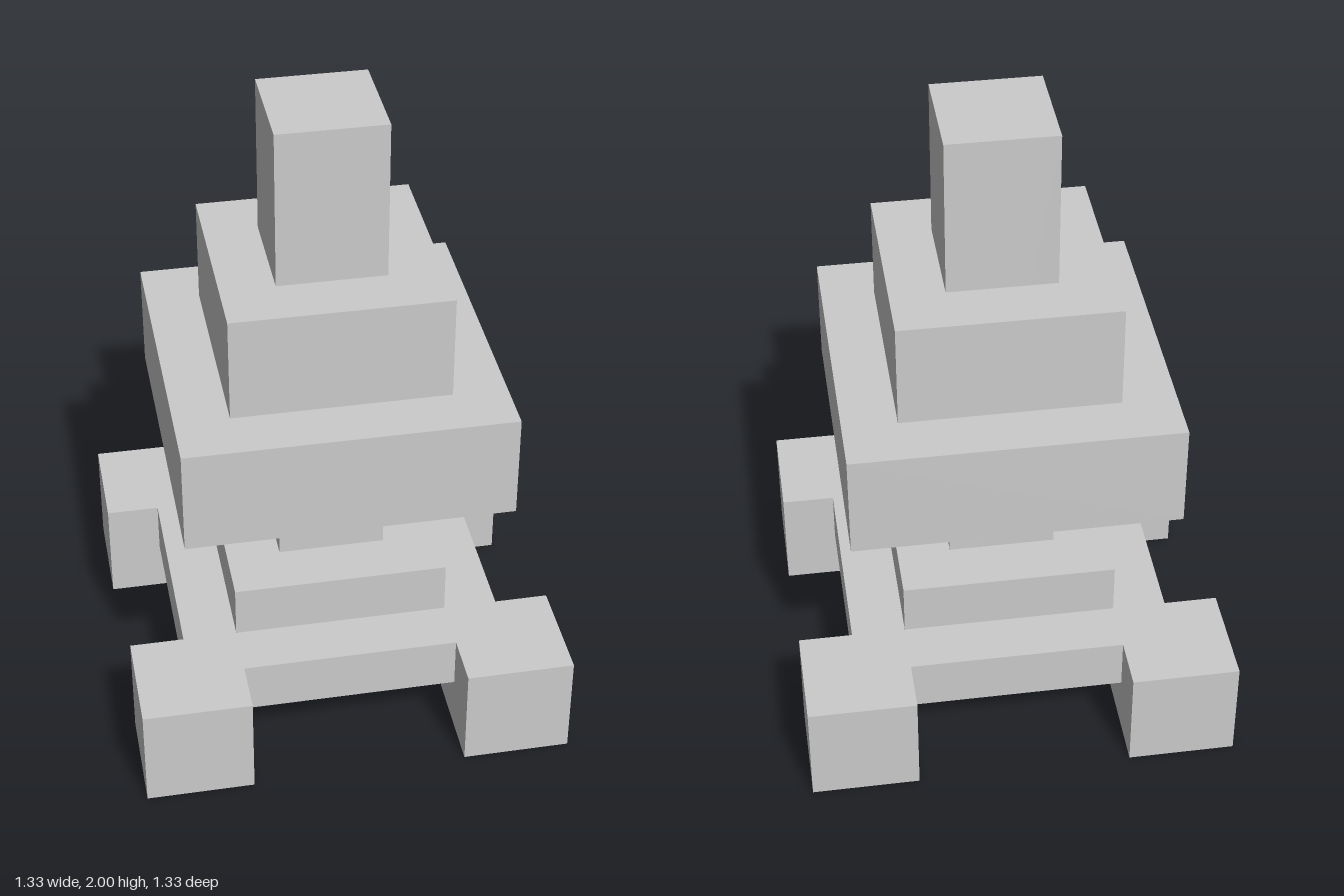
import * as THREE from 'three';

const U = 1 / 6; // the module every part is measured in

export function createModel() {
  const model = new THREE.Group();
  const material = new THREE.MeshStandardMaterial({ color: 0xcccccc, flatShading: true });

  const add = (name, geometry, x, y, z) => {
    const mesh = new THREE.Mesh(geometry, material);
    mesh.name = name;
    mesh.position.set(x * U, y * U, z * U);
    model.add(mesh);
    return mesh;
  };

  // Square block centred on the axis, from height y0 to y1
  const block = (name, width, y0, y1) =>
    add(name, new THREE.BoxGeometry(width * U, (y1 - y0) * U, width * U), 0, (y0 + y1) / 2, 0);

  // Central column and the two stepped tiers
  block('column', 2, 0, 12);
  block('lowerTier', 4, 2, 3);
  block('upperTier', 4, 6, 9);

  // Wide collar, open underneath around the upper tier
  const square = (Type, half) => new Type([
    new THREE.Vector2(-half, -half), new THREE.Vector2(half, -half),
    new THREE.Vector2(half, half), new THREE.Vector2(-half, half),
  ]);
  const outline = square(THREE.Shape, 3 * U);
  outline.holes.push(square(THREE.Path, 2 * U));
  const collar = new THREE.ExtrudeGeometry(outline, { depth: 2 * U, bevelEnabled: false });
  collar.rotateX(-Math.PI / 2);
  add('collar', collar, 0, 5, 0);

  // Base frame: four rails joining four corner feet
  for (const s of [-1, 1]) {
    add('sideRail', new THREE.BoxGeometry(U, U, 4 * U), s * 2.5, 1.5, 0);
    add('crossRail', new THREE.BoxGeometry(4 * U, U, U), 0, 1.5, s * 2.5);
    for (const t of [-1, 1]) {
      add('foot', new THREE.BoxGeometry(2 * U, 2 * U, 2 * U), s * 3, 1, t * 3);
    }
  }

  return model;
}
